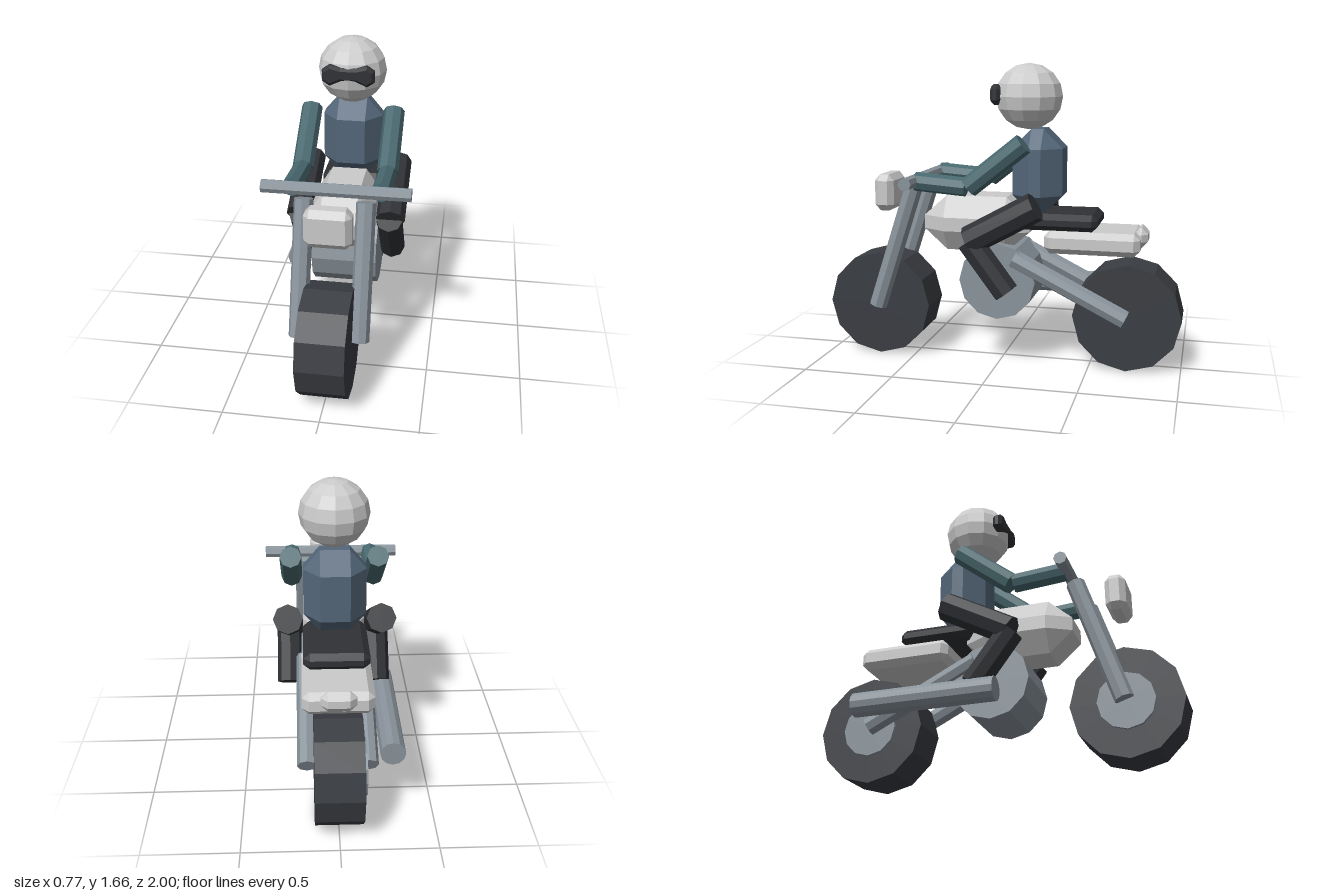
import * as THREE from 'three';
import { ConvexGeometry } from 'three/addons/geometries/ConvexGeometry.js';

const mat = (color) => new THREE.MeshStandardMaterial({ color, flatShading: true });

export function createModel() {
  const model = new THREE.Group();
  model.name = 'motorcycleAndRider';

  const pale = mat(0xcccccc), metal = mat(0x8a949c), rubber = mat(0x3a3d42);
  const dark = mat(0x303236), jacket = mat(0x54677a), sleeve = mat(0x48686f);

  const add = (name, geometry, material, x = 0, y = 0, z = 0) => {
    const mesh = new THREE.Mesh(geometry, material);
    mesh.name = name;
    mesh.position.set(x, y, z);
    model.add(mesh);
    return mesh;
  };

  // Straight rod between two points
  const rod = (name, a, b, radius, material, sides = 8) => {
    const from = new THREE.Vector3(...a), to = new THREE.Vector3(...b);
    const dir = to.clone().sub(from);
    const mesh = add(name, new THREE.CylinderGeometry(radius, radius, dir.length(), sides), material);
    mesh.position.copy(from).add(to).multiplyScalar(0.5);
    mesh.quaternion.setFromUnitVectors(new THREE.Vector3(0, 1, 0), dir.normalize());
    return mesh;
  };

  // Cylinder lying across the bike, from x0 to x1
  const axle = (name, x0, x1, y, z, radius, material, sides) => {
    const geometry = new THREE.CylinderGeometry(radius, radius, x1 - x0, sides).rotateZ(Math.PI / 2);
    return add(name, geometry, material, (x0 + x1) / 2, y, z);
  };

  // Box with chamfered edges: half sizes h, chamfers b
  const chamferBox = (name, [x, y, z], h, b, material) => {
    const points = [];
    for (const sx of [-1, 1]) for (const sy of [-1, 1]) for (const sz of [-1, 1])
      for (let axis = 0; axis < 3; axis++) {
        const p = h.map((v, i) => (i === axis ? v : v - b[i]));
        points.push(new THREE.Vector3(p[0] * sx, p[1] * sy, p[2] * sz));
      }
    return add(name, new ConvexGeometry(points), material, x, y, z);
  };

  // Wheels, each with a hub disc on the right side
  for (const [name, z] of [['front', 0.705], ['rear', -0.705]]) {
    axle(name + 'Wheel', -0.125, 0.125, 0.295, z, 0.295, rubber, 12);
    axle(name + 'Hub', -0.145, -0.1, 0.295, z, 0.15, metal, 12);
  }

  // Engine, handlebar and exhaust
  axle('engine', -0.18, 0.18, 0.475, 0, 0.212, metal, 12);
  axle('handlebar', -0.385, 0.385, 1.023, 0.45, 0.036, metal, 8);
  rod('exhaust', [-0.28, 0.385, 0.065], [-0.28, 0.385, -0.73], 0.066, metal, 12);

  // Bodywork
  chamferBox('fuelTank', [0, 0.778, 0.135], [0.17, 0.153, 0.3], [0.075, 0.115, 0.13], pale);
  chamferBox('headlight', [0, 0.932, 0.675], [0.12, 0.103, 0.056], [0.03, 0.035, 0.03], pale);
  chamferBox('seat', [0, 0.81, -0.33], [0.172, 0.046, 0.213], [0.035, 0.03, 0.03], dark);
  chamferBox('tailFairing', [0, 0.703, -0.513], [0.182, 0.062, 0.258], [0.035, 0.033, 0.033], pale);
  chamferBox('tailLight', [0, 0.73, -0.767], [0.09, 0.055, 0.038], [0.035, 0.035, 0.033], pale);

  // Rider torso and head
  chamferBox('torso', [0, 1.073, -0.203], [0.166, 0.233, 0.138], [0.088, 0.105, 0.105], jacket);
  const head = add('head', new THREE.SphereGeometry(0.187, 12, 8), pale, 0, 1.477, -0.14);
  head.scale.y = 0.96;

  // Goggles, pinched over the nose
  const outline = [[0.14, 0.03], [0.1, 0.057], [0.04, 0.042], [-0.04, 0.042], [-0.1, 0.057], [-0.14, 0.03],
    [-0.14, -0.03], [-0.1, -0.057], [-0.04, -0.03], [0.04, -0.03], [0.1, -0.057], [0.14, -0.03]];
  const goggles = new THREE.ExtrudeGeometry(new THREE.Shape(outline.map((p) => new THREE.Vector2(...p))), {
    depth: 0.02, bevelEnabled: true, bevelSegments: 1, bevelSize: 0.015, bevelThickness: 0.018, bevelOffset: -0.015,
  });
  add('goggles', goggles, dark, 0, 1.488, 0.011);

  // Paired rods: fork, swing arm and the rider's limbs
  for (const [side, s] of [['left', 1], ['right', -1]]) {
    const pair = (part, x, a, b, radius, material) =>
      rod(side + part, [s * x, ...a], [s * x, ...b], radius, material);
    pair('Fork', 0.16, [0.98, 0.475], [0.295, 0.7], 0.051, metal);
    pair('SwingArm', 0.16, [0.605, -0.09], [0.3, -0.7], 0.051, metal);
    pair('Thigh', 0.25, [0.91, -0.228], [0.71, 0.137], 0.08, dark);
    pair('Shin', 0.245, [0.71, 0.137], [0.434, -0.07], 0.073, dark);
    pair('UpperArm', 0.23, [1.238, -0.158], [1.0, 0.14], 0.058, sleeve);
    pair('Forearm', 0.23, [1.0, 0.155], [1.022, 0.44], 0.052, sleeve);
  }

  return model;
}
